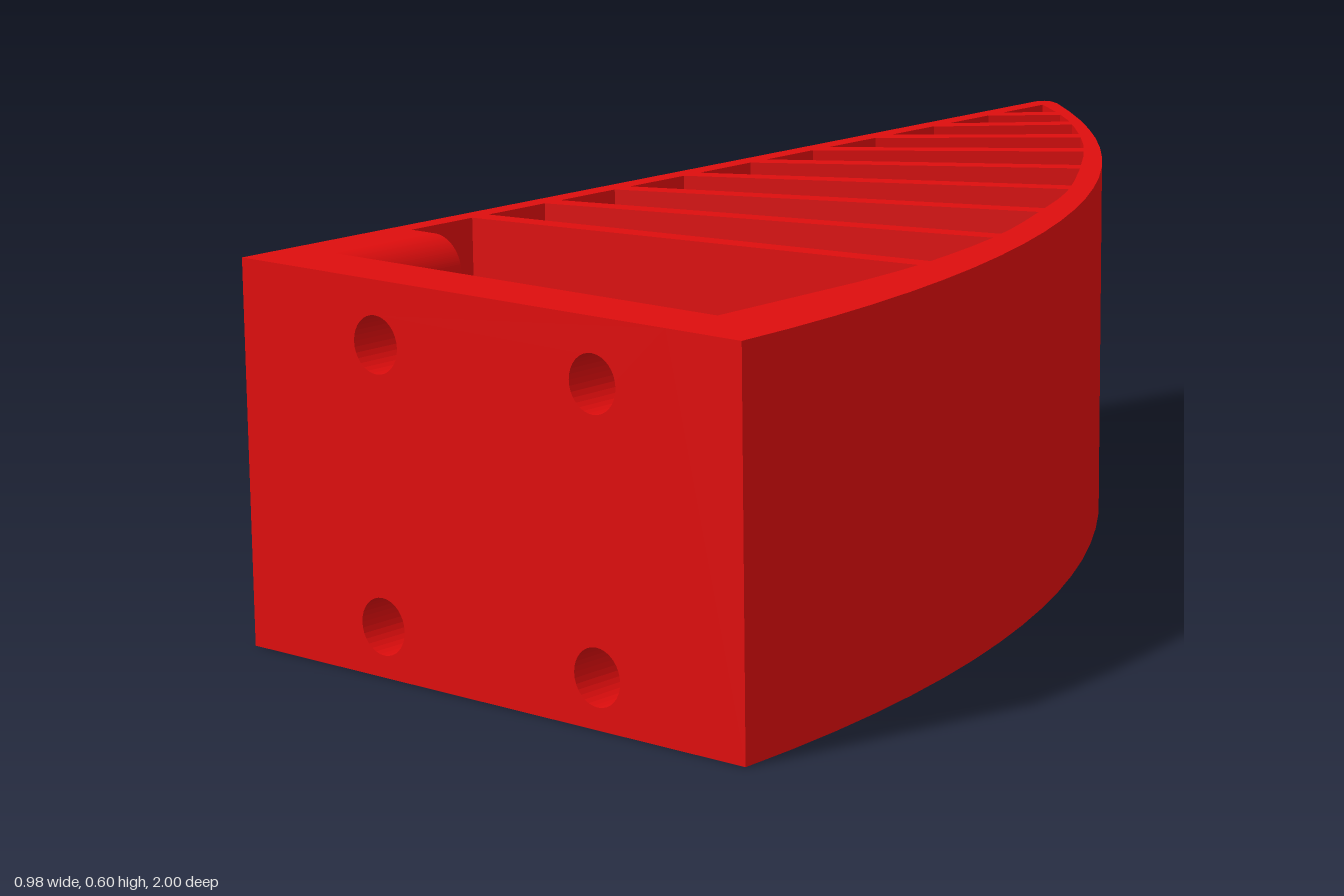
import * as THREE from 'three';

const H = 0.6;            // overall height
const WALL_X = -0.455;    // inner face of the straight wall
const INNER_X = 0.35;     // inner face of the curved wall near the front
const FRONT = 0.89;       // inner face of the front plate
const BAR_BACK = 0.68;    // rear of the crossbar

export function createModel() {
  const group = new THREE.Group();
  const material = new THREE.MeshStandardMaterial({ color: 0xdd0d0d });

  const add = (name, geometry) => {
    const mesh = new THREE.Mesh(geometry, material);
    mesh.name = name;
    group.add(mesh);
    return mesh;
  };

  // Plan outlines use (x, -z) and are raised along y
  const raise = (shape) => new THREE.ExtrudeGeometry(shape, {
    depth: H, bevelEnabled: false,
  }).rotateX(-Math.PI / 2);

  // Upright outlines use (x, y) and run along z
  const runZ = (shape, z0, z1) => new THREE.ExtrudeGeometry(shape, {
    depth: z1 - z0, bevelEnabled: false, curveSegments: 16,
  }).translate(0, 0, z0);

  // Straight wall and arched wall, meeting in a small rounded tip
  const R = 2.58, N = 22;
  const outline = [[-0.49, 1], [WALL_X, 1], [WALL_X, -0.955]];
  const inner = new THREE.SplineCurve([
    [WALL_X, -0.955], [-0.3, -0.825], [-0.1, -0.595], [0.11, -0.27],
    [0.205, -0.06], [0.285, 0.16], [0.335, 0.4], [INNER_X, 0.58],
  ].map(([x, z]) => new THREE.Vector2(x, z)));
  for (let i = 1; i <= N; i++) outline.push(inner.getPoint(i / N).toArray());
  outline.push([INNER_X, 1]);
  const end = Math.asin(1.985 / R);
  for (let i = 0; i <= N; i++) {
    const a = end * i / N;
    outline.push([0.488 - R + R * Math.cos(a), 1 - R * Math.sin(a)]);
  }
  outline.push([-0.464, -0.996], [-0.473, -1], [-0.482, -0.996], [-0.488, -0.99], [-0.49, -0.98]);
  add('outerWalls', raise(new THREE.Shape(
    outline.map(([x, z]) => new THREE.Vector2(x, -z)))));

  // Front plate with four screw holes
  const plate = new THREE.Shape();
  plate.moveTo(WALL_X, 0).lineTo(INNER_X, 0).lineTo(INNER_X, H).lineTo(WALL_X, H).closePath();
  for (const x of [-0.213, 0.213]) {
    for (const y of [0.078, 0.503]) {
      plate.holes.push(new THREE.Path().absarc(x, y, 0.044, 0, Math.PI * 2, true));
    }
  }
  add('frontPlate', runZ(plate, FRONT, 1));

  // Full-height corner block with rounded upper and lower edges
  const bx = -INNER_X, r = 0.055;
  const block = new THREE.Shape();
  block.moveTo(WALL_X, 0).lineTo(bx - r, 0);
  block.absarc(bx - r, r, r, -Math.PI / 2, 0, false);
  block.absarc(bx - r, H - r, r, 0, Math.PI / 2, false);
  block.lineTo(WALL_X, H).closePath();
  add('cornerBlock', runZ(block, BAR_BACK, FRONT));

  // Crossbar behind the plate, filleted into the curved wall
  const y0 = 0.15, y1 = 0.44, f = 0.04;
  const bar = new THREE.Shape();
  bar.moveTo(bx, y0).lineTo(INNER_X - f, y0);
  bar.absarc(INNER_X - f, y0 - f, f, Math.PI / 2, 0, true);
  bar.lineTo(INNER_X, y1 + f);
  bar.absarc(INNER_X - f, y1 + f, f, 0, -Math.PI / 2, true);
  bar.lineTo(bx, y1).closePath();
  add('crossbar', runZ(bar, BAR_BACK, FRONT));

  // Fan of ribs: z at the straight wall, then x and z at the arched wall
  const ribs = [
    [0.53, 0.335, 0.405], [0.365, 0.285, 0.16], [0.2, 0.205, -0.065],
    [0.03, 0.115, -0.265], [-0.14, 0.005, -0.44], [-0.305, -0.09, -0.59],
    [-0.475, -0.19, -0.71], [-0.64, -0.29, -0.815], [-0.8, -0.38, -0.89],
  ];
  for (const [z0, x1, z1] of ribs) {
    const x0 = WALL_X - 0.01;
    const dx = x1 + 0.01 - x0, dz = z1 - z0;
    const rib = add('rib', new THREE.BoxGeometry(Math.hypot(dx, dz), H, 0.036));
    rib.position.set(x0 + dx / 2, H / 2, z0 + dz / 2);
    rib.rotation.y = Math.atan2(-dz, dx);
  }

  return group;
}
